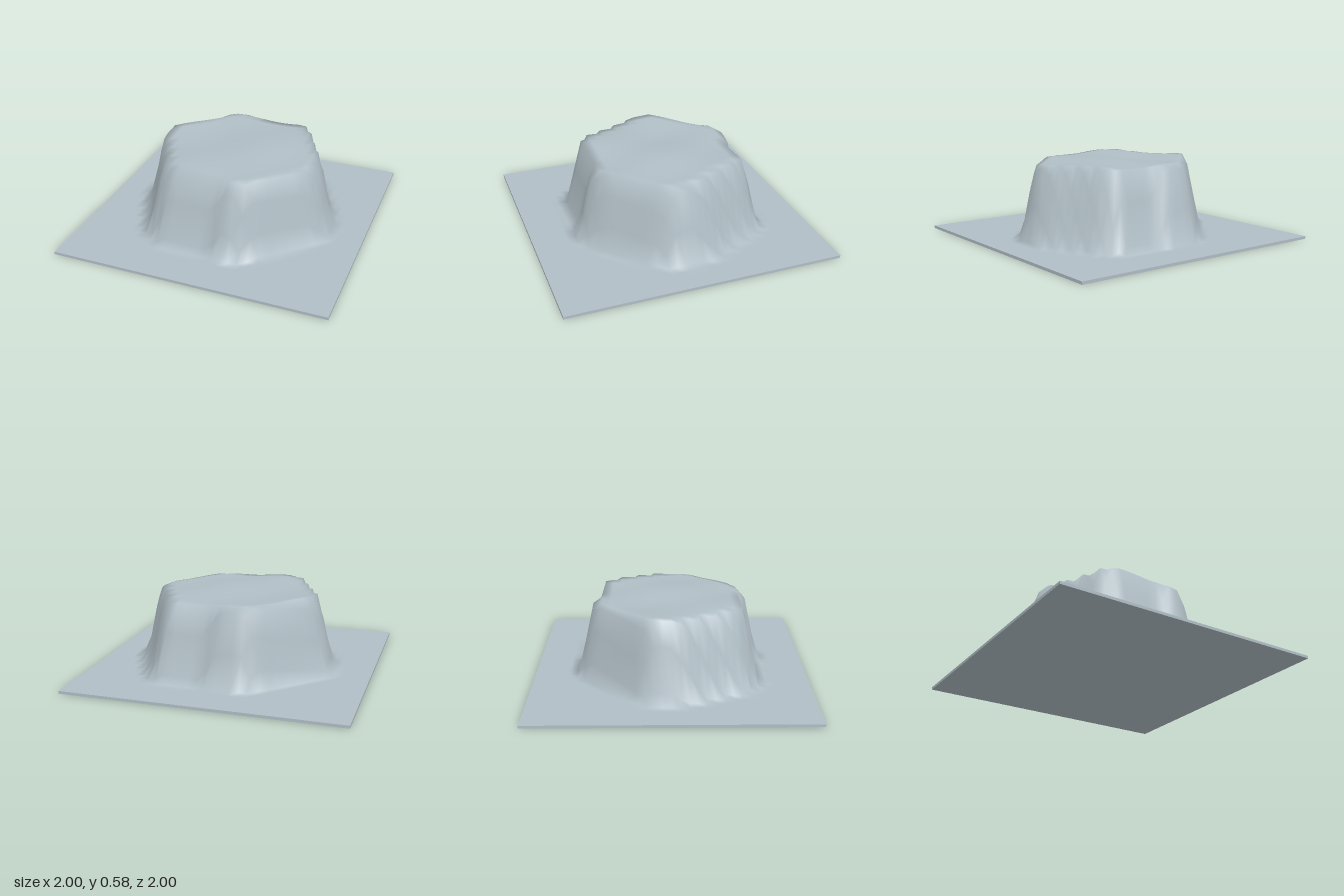
import * as THREE from 'three';

const SEGMENTS = 32;
const GROUND = 0.02;
const RISE = 0.55;
const HALF_SLOPE = 0.078;

// Outline of the mesa at half height, as x, z pairs
const OUTLINE = [
  [-0.645, -0.16], [-0.27, -0.57], [-0.18, -0.62], [0, -0.615], [0.1, -0.575],
  [0.4, -0.575], [0.48, -0.47], [0.56, -0.3], [0.65, -0.13], [0.685, 0],
  [0.68, 0.12], [0.62, 0.22], [0.32, 0.53], [0.2, 0.605], [0.12, 0.61],
  [0.03, 0.57], [-0.32, 0.57], [-0.44, 0.49], [-0.51, 0.33], [-0.62, 0.1],
  [-0.65, -0.02],
];

// Distance to the outline, positive inside
function insideDistance(x, z) {
  let nearest = Infinity;
  let inside = false;
  OUTLINE.forEach(([ax, az], i) => {
    const [bx, bz] = OUTLINE[(i + 1) % OUTLINE.length];
    const dx = bx - ax, dz = bz - az;
    const t = THREE.MathUtils.clamp(((x - ax) * dx + (z - az) * dz) / (dx * dx + dz * dz), 0, 1);
    nearest = Math.min(nearest, Math.hypot(x - ax - t * dx, z - az - t * dz));
    if ((az > z) !== (bz > z) && x < ax + (z - az) * dx / dz) inside = !inside;
  });
  return inside ? nearest : -nearest;
}

// Flat ground, steep flanks and a gently rolling summit
function heightAt(x, z) {
  const climb = THREE.MathUtils.smoothstep(insideDistance(x, z), -HALF_SLOPE, HALF_SLOPE);
  const roll = 0.007 * Math.sin(7 * x + 6 * z + 0.6) + 0.005 * Math.sin(11 * x - 5 * z);
  return GROUND + climb * (RISE + roll);
}

export function createModel() {
  const model = new THREE.Group();
  model.name = 'plateau';
  const stone = new THREE.MeshStandardMaterial({ color: 0xb0bec5 });
  stone.name = 'pale blue grey';

  // Terrain surface
  const surface = new THREE.PlaneGeometry(2, 2, SEGMENTS, SEGMENTS);
  surface.rotateX(-Math.PI / 2);
  const position = surface.attributes.position;
  for (let i = 0; i < position.count; i++) {
    position.setY(i, heightAt(position.getX(i), position.getZ(i)));
  }
  surface.computeVertexNormals();
  const terrain = new THREE.Mesh(surface, stone);
  terrain.name = 'terrain';
  model.add(terrain);

  // Thin base slab, left open where the terrain covers it
  const slab = new THREE.BoxGeometry(2, GROUND, 2);
  slab.translate(0, GROUND / 2, 0);
  const faces = Array.from(slab.index.array);
  faces.splice(12, 6);
  slab.setIndex(faces);
  slab.clearGroups();
  const base = new THREE.Mesh(slab, stone);
  base.name = 'baseSlab';
  model.add(base);

  return model;
}
